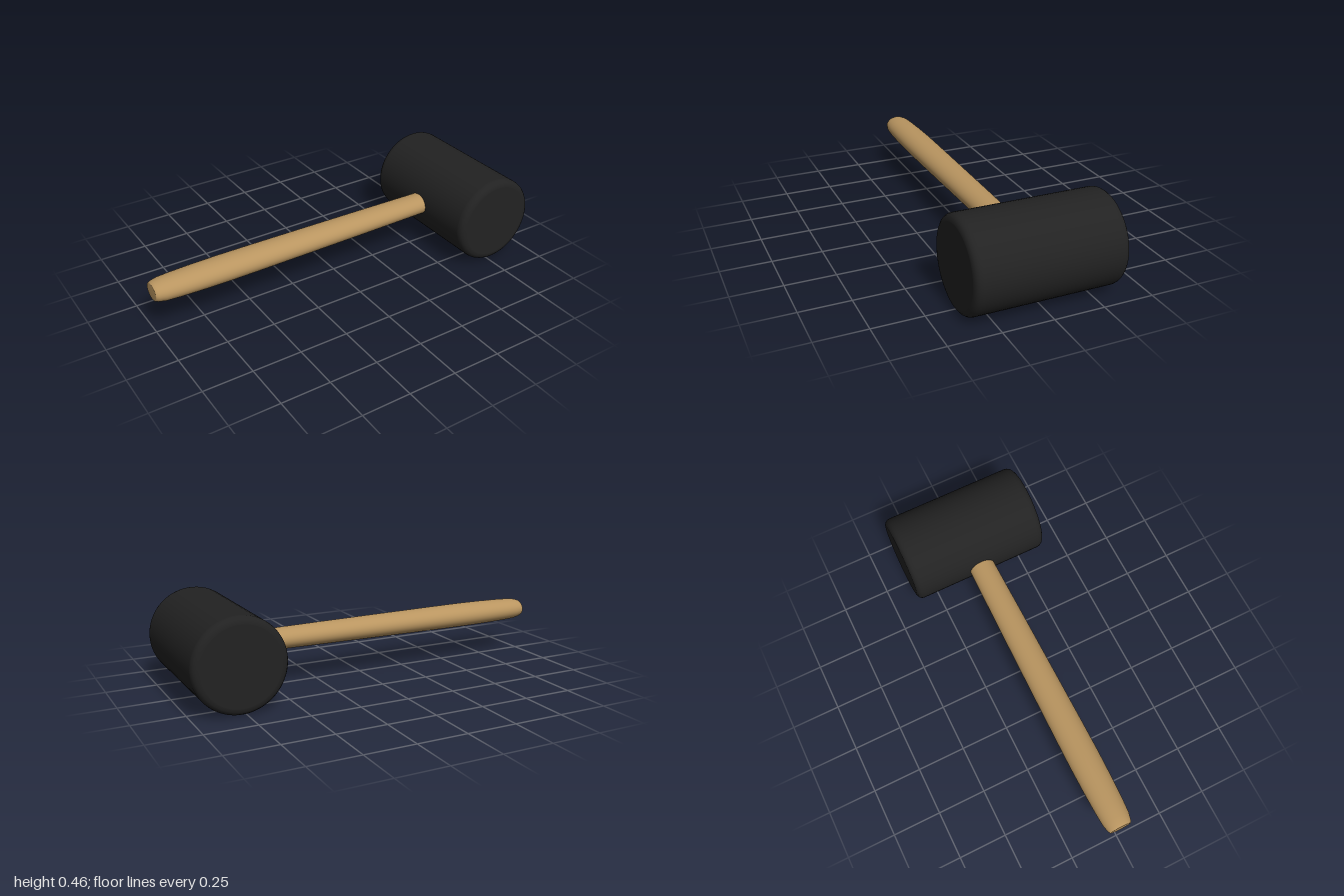
import * as THREE from 'three';

const rubber = new THREE.MeshStandardMaterial({ color: 0x222222 });
rubber.name = 'black rubber';
const wood = new THREE.MeshStandardMaterial({ color: 0xb99560 });
wood.name = 'tan wood';

const AXIS_Y = 0.229;

// Revolved solid from [radius, height] pairs, listed from bottom to top
function turned(name, profile, segments, material) {
  const points = profile.map(([r, h]) => new THREE.Vector2(r, h));
  const mesh = new THREE.Mesh(new THREE.LatheGeometry(points, segments), material);
  mesh.name = name;
  return mesh;
}

export function createModel() {
  const group = new THREE.Group();
  group.name = 'mallet';

  // Head: cylinder along z with rounded rims
  const radius = 0.2285, half = 0.371, bevel = 0.033;
  const rim = [[0, half], [radius - bevel - 0.003, half]];
  for (let i = 0; i <= 4; i++) {
    const a = (i / 4) * Math.PI / 2;
    rim.push([radius - bevel + bevel * Math.sin(a), half - bevel + bevel * Math.cos(a)]);
  }
  rim.push([radius, half - bevel - 0.004]);
  const lower = rim.map(([r, h]) => [r, -h]);
  const head = turned('head', [...lower, ...rim.slice().reverse()], 64, rubber);
  head.geometry.rotateX(Math.PI / 2);
  head.position.set(0.7715, AXIS_Y, 0);
  group.add(head);

  // Handle: oval section along x, fullest near the grip and tapering to the head
  const handle = turned('handle', [
    [0, -1], [0.052, -1], [0.056, -0.998], [0.063, -0.985], [0.071, -0.95],
    [0.0755, -0.88], [0.079, -0.77], [0.081, -0.63], [0.08, -0.45],
    [0.077, -0.15], [0.073, 0.2], [0.068, 0.55], [0.067, 0.65], [0, 0.65],
  ], 40, wood);
  handle.geometry.rotateZ(-Math.PI / 2);
  handle.geometry.scale(1, 0.765, 1);
  handle.position.set(0, AXIS_Y + 0.003, 0);
  group.add(handle);

  return group;
}
